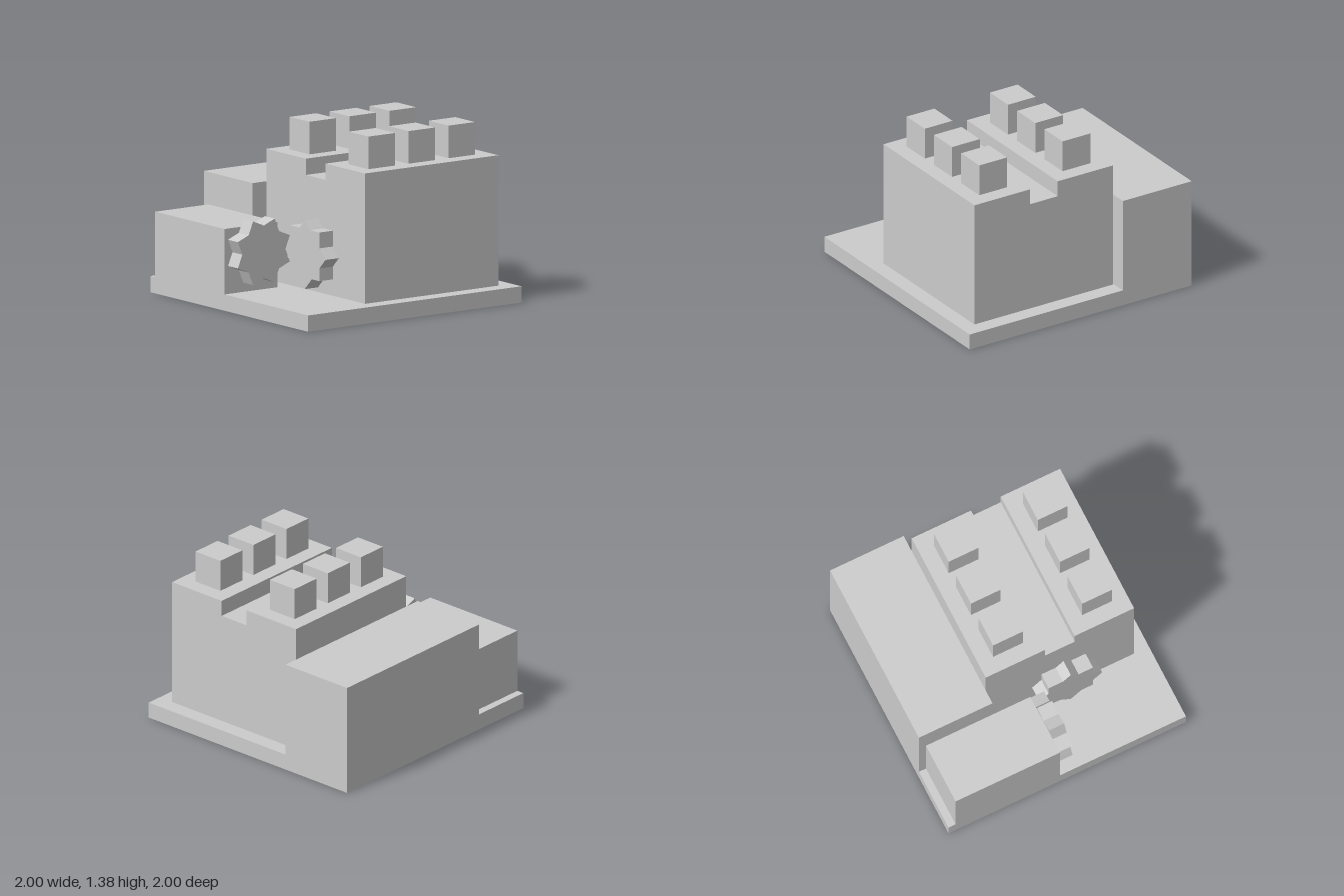
import * as THREE from 'three';

const material = new THREE.MeshStandardMaterial({ color: 0xcccccc, flatShading: true });

// Box given by its minimum and maximum corners
function block(name, [x0, y0, z0], [x1, y1, z1]) {
  const mesh = new THREE.Mesh(new THREE.BoxGeometry(x1 - x0, y1 - y0, z1 - z0), material);
  mesh.position.set((x0 + x1) / 2, (y0 + y1) / 2, (z0 + z1) / 2);
  mesh.name = name;
  return mesh;
}

// Eight-toothed gear made of two crossed square plates, facing +z
function gear(name, tilt, shift) {
  const group = new THREE.Group();
  group.name = name;
  for (const k of [0, 1]) {
    const plate = new THREE.Mesh(new THREE.BoxGeometry(0.373, 0.373, 0.125), material);
    plate.rotation.z = tilt + k * Math.PI / 4;
    plate.position.y = k * shift;
    plate.name = 'gearPlate';
    group.add(plate);
  }
  return group;
}

export function createModel() {
  const model = new THREE.Group();
  model.name = 'blockMachine';

  // Base and the two lower blocks
  model.add(block('basePlate', [-1, 0, -1], [1, 0.125, 1]));
  model.add(block('sideBlock', [-1, 0.125, -1], [-0.38, 0.875, 0.5]));
  model.add(block('frontBlock', [-0.94, 0.125, 0.5], [-0.0625, 0.627, 1]));

  // Main block with a channel along its top
  const profile = new THREE.Shape([
    [-0.375, 0.125], [0.875, 0.125], [0.875, 1.125], [0.375, 1.125],
    [0.375, 1], [0.125, 1], [0.125, 1.125], [-0.375, 1.125],
  ].map(([x, y]) => new THREE.Vector2(x, y)));
  const body = new THREE.Mesh(
    new THREE.ExtrudeGeometry(profile, { depth: 1.25, bevelEnabled: false }), material);
  body.position.z = -0.875;
  body.name = 'mainBlock';
  model.add(body);

  // Two rows of cubes on top
  for (const x of [-0.25, 0.5]) {
    for (const z of [-0.75, -0.375, 0]) {
      model.add(block('topCube', [x, 1.125, z], [x + 0.25, 1.375, z + 0.25]));
    }
  }

  // Gear on the main block's front
  const frontGear = gear('frontGear', 0, -0.012);
  frontGear.position.set(0.28, 0.4375, 0.4375);
  model.add(frontGear);

  // Gear on the front block's end, turned to face +x
  const sideGear = gear('sideGear', Math.PI / 8, 0);
  sideGear.rotation.y = Math.PI / 2;
  sideGear.position.set(0, 0.44, 0.722);
  model.add(sideGear);

  return model;
}
